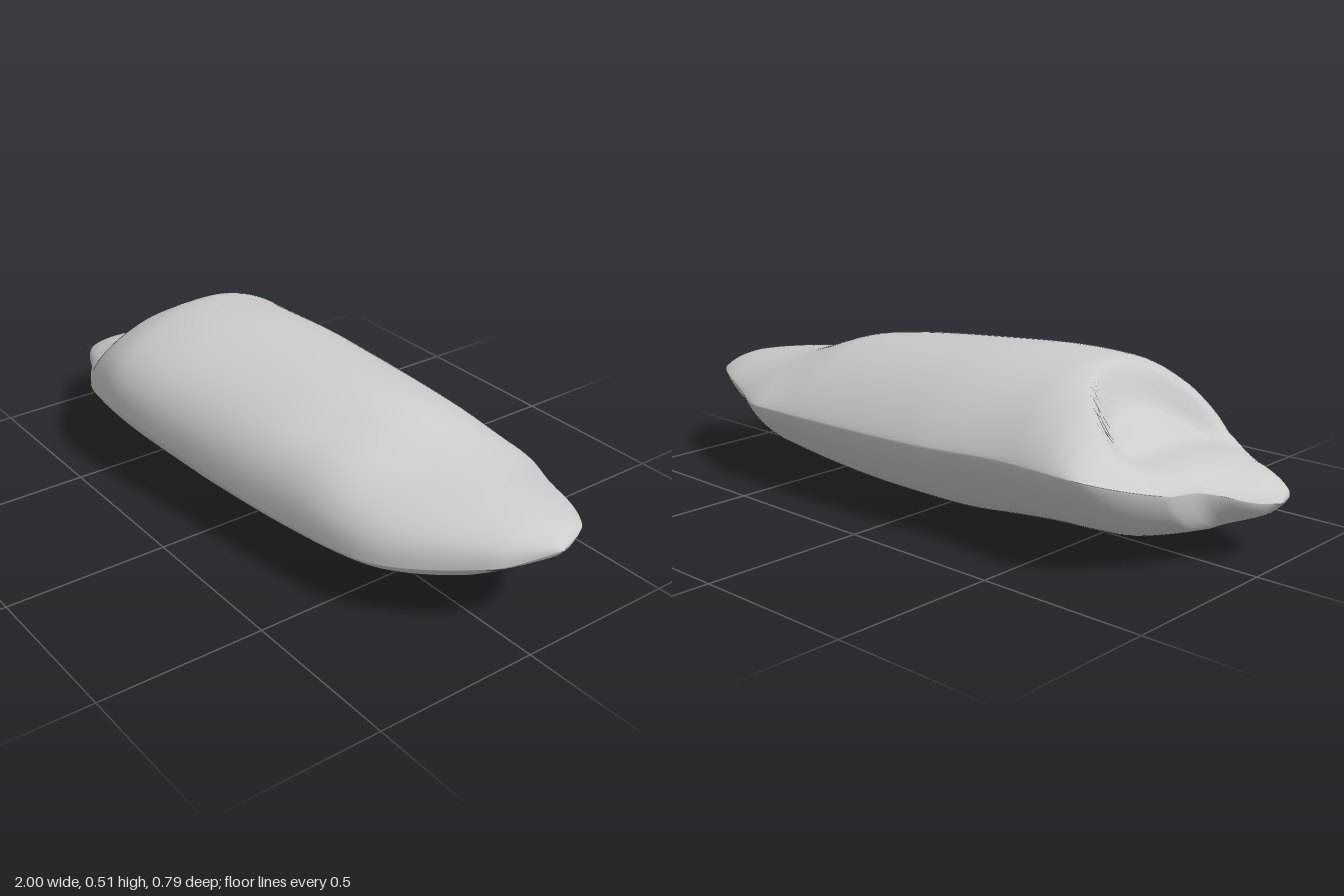
import * as THREE from 'three';

// Guide curves along the length, as [x, value] pairs
const BACK = [[-1, 0.1], [-0.97, 0.03], [-0.87, -0.1], [-0.85, -0.19], [-0.68, -0.38], [-0.4, -0.365], [-0.1, -0.39],
  [0.54, -0.4], [0.72, -0.33], [0.94, -0.22], [1, -0.09]];
const FRONT = [[-1, 0.1], [-0.98, 0.18], [-0.84, 0.26], [-0.64, 0.36], [-0.43, 0.395], [-0.1, 0.36], [0.23, 0.315],
  [0.58, 0.265], [0.9, 0.06], [0.95, -0.01], [1, -0.09]];
const TOP = [[-1, 0.175], [-0.97, 0.21], [-0.8, 0.285], [-0.7, 0.345], [-0.65, 0.41], [-0.57, 0.47], [-0.45, 0.505],
  [-0.3, 0.51], [0, 0.495], [0.35, 0.46], [0.6, 0.385], [0.9, 0.335], [0.97, 0.305], [1, 0.285]];
const BOTTOM = [[-1, 0.175], [-0.96, 0.135], [-0.8, 0.08], [-0.6, 0.042], [-0.3, 0.012], [-0.1, 0], [0.1, 0.005],
  [0.3, 0.02], [0.6, 0.07], [0.8, 0.135], [0.9, 0.2], [0.97, 0.25], [1, 0.285]];
const RIM_FRONT = [[-1, 0.175], [-0.7, 0.2], [-0.43, 0.24], [0, 0.2], [0.3, 0.18], [0.58, 0.185], [0.9, 0.235], [1, 0.285]];
const RIM_BACK = [[-1, 0.175], [-0.85, 0.23], [-0.68, 0.28], [0, 0.26], [0.54, 0.255], [0.94, 0.285], [1, 0.285]];

// Smooth interpolation that never overshoots its points
function sample(curve, x) {
  let i = 1;
  while (i < curve.length - 1 && x > curve[i][0]) i++;
  const slope = (k) => (curve[k][1] - curve[k - 1][1]) / (curve[k][0] - curve[k - 1][0]);
  const tangent = (k) => {
    if (k === 0) return slope(1);
    if (k === curve.length - 1) return slope(k);
    const p = slope(k), q = slope(k + 1);
    return p * q > 0 ? 2 * p * q / (p + q) : 0;
  };
  const [x0, v0] = curve[i - 1], [x1, v1] = curve[i];
  const h = x1 - x0, t = (x - x0) / h, u = 1 - t;
  return u * u * (1 + 2 * t) * v0 + t * t * (3 - 2 * t) * v1
    + h * t * u * (u * tangent(i - 1) - t * tangent(i));
}

const bump = (d, r) => Math.exp(-(d * d) / (r * r));
const { smoothstep, lerp } = THREE.MathUtils;

// Amount carved out of the upper surface
function carve(x, z) {
  // Step at the low end: a curved steep wall above a ramp
  const wall = -0.51 - 2.5 * z * z;
  const step = smoothstep(wall - x, 0, 0.06) * smoothstep(x, -0.84, -0.58)
    * smoothstep(z, -0.26, -0.13) * (1 - smoothstep(z, 0.18, 0.3));
  // Shallow slanting hollow on the front shoulder
  const along = (x - 0.38) * 0.8 - (z - 0.09) * 0.6;
  const across = (x - 0.38) * 0.6 + (z - 0.09) * 0.8;
  return 0.09 * step + 0.02 * bump(along, 0.18) * bump(across, 0.07);
}

function stoneGeometry(rings = 130, sides = 96) {
  const positions = [], index = [];
  for (let i = 0; i <= rings; i++) {
    const t = i / rings;
    const x = lerp(2 * t - 1, -Math.cos(Math.PI * t), 0.5);
    const back = sample(BACK, x), front = sample(FRONT, x);
    const top = sample(TOP, x), bottom = sample(BOTTOM, x);
    const rimBack = sample(RIM_BACK, x), rimFront = sample(RIM_FRONT, x);
    for (let j = 0; j < sides; j++) {
      const a = (j / sides) * Math.PI * 2, c = Math.cos(a), s = Math.sin(a);
      const z = (front + back) / 2 + (front - back) / 2 * c;
      const rim = lerp(rimBack, rimFront, (c + 1) / 2);
      // Full shoulder to the front, flatter slope to the back, bowl below
      const y = s >= 0
        ? lerp(rim, top, Math.pow(s, 1.2 - 0.4 * c)) - carve(x, z) * smoothstep(s, 0, 0.5)
        : lerp(rim, bottom, Math.pow(-s, 1.45));
      positions.push(x, y, z);
    }
  }
  for (let i = 0; i < rings; i++) {
    for (let j = 0; j < sides; j++) {
      const k = (j + 1) % sides;
      const a = i * sides + j, b = i * sides + k, c = a + sides, d = b + sides;
      index.push(a, c, d, a, d, b);
    }
  }
  const geometry = new THREE.BufferGeometry();
  geometry.setAttribute('position', new THREE.Float32BufferAttribute(positions, 3));
  geometry.setIndex(index);
  geometry.computeVertexNormals();
  return geometry;
}

export function createModel() {
  const group = new THREE.Group();
  group.name = 'rock';
  const stone = new THREE.Mesh(stoneGeometry(), new THREE.MeshStandardMaterial({ color: 0xcccccc }));
  stone.name = 'stone';
  group.add(stone);
  return group;
}
